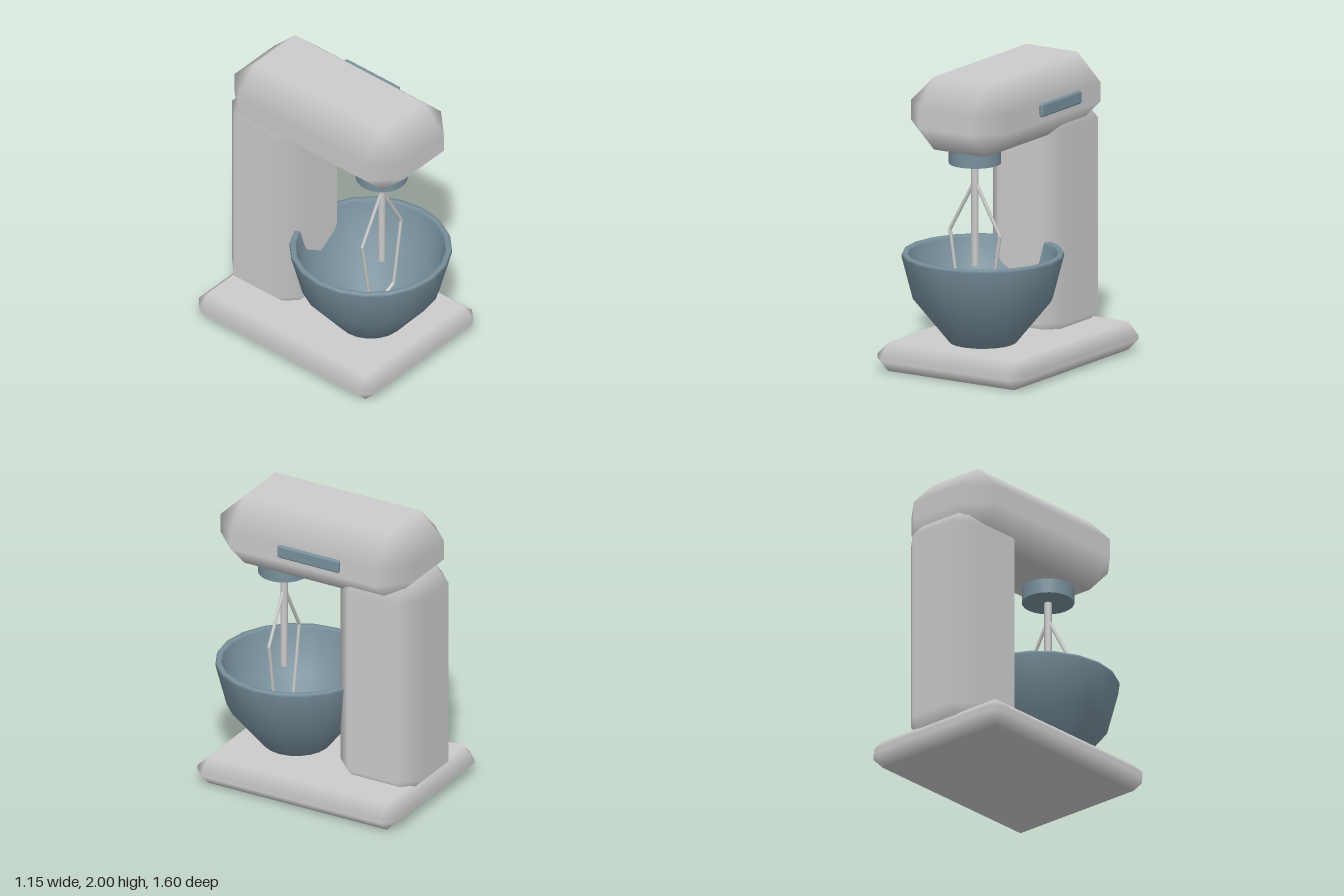
import * as THREE from 'three';
import { ConvexGeometry } from 'three/addons/geometries/ConvexGeometry.js';
import { RoundedBoxGeometry } from 'three/addons/geometries/RoundedBoxGeometry.js';

const grey = new THREE.MeshStandardMaterial({ color: 0xcccccc });
const blue = new THREE.MeshStandardMaterial({ color: 0x78909c });

// Box with a single-step bevel: flat main faces, smoothly shaded bevels.
function bevelBox(min, max, bevel) {
  const half = min.map((v, i) => (max[i] - v) / 2);
  const points = [];
  for (let axis = 0; axis < 3; axis++)
    for (const sx of [-1, 1])
      for (const sy of [-1, 1])
        for (const sz of [-1, 1]) {
          const p = [sx, sy, sz].map((s, i) => s * (half[i] - (i === axis ? 0 : bevel)));
          points.push(new THREE.Vector3(...p));
        }
  const geo = new ConvexGeometry(points);
  const pos = geo.attributes.position;
  const normal = geo.attributes.normal;
  for (let i = 0; i < pos.count; i++) {
    const p = [pos.getX(i), pos.getY(i), pos.getZ(i)];
    // each corner takes the direction of the main face it belongs to
    normal.setXYZ(i, ...p.map((v, k) => (half[k] - Math.abs(v) < 1e-4 ? Math.sign(v) : 0)));
  }
  return geo.translate(...min.map((v, i) => (v + max[i]) / 2));
}

// Straight round rod between two points.
function rod(a, b, radius, sides) {
  const dir = b.clone().sub(a);
  const geo = new THREE.CylinderGeometry(radius, radius, dir.length(), sides);
  geo.applyQuaternion(new THREE.Quaternion().setFromUnitVectors(
    new THREE.Vector3(0, 1, 0), dir.clone().normalize()));
  const mid = a.clone().add(b).multiplyScalar(0.5);
  return geo.translate(mid.x, mid.y, mid.z);
}

export function createModel() {
  const model = new THREE.Group();
  model.name = 'standMixer';
  const add = (name, geo, material, parent = model) => {
    const mesh = new THREE.Mesh(geo, material);
    mesh.name = name;
    parent.add(mesh);
    return mesh;
  };

  // Body: base plate, rear column, motor head
  add('base', bevelBox([-0.575, 0, -0.8], [0.575, 0.19, 0.72], 0.08), grey);
  add('column', bevelBox([-0.29, 0.11, -0.8], [0.29, 1.68, -0.17], 0.13), grey);
  add('head', bevelBox([-0.38, 1.51, -0.745], [0.38, 2, 0.72], 0.18), grey);

  // Speed lever on the left side of the head
  add('lever', new RoundedBoxGeometry(0.03, 0.09, 0.47, 2, 0.014), blue)
    .position.set(0.395, 1.775, -0.065);

  // Attachment hub below the head
  add('hub', new THREE.CylinderGeometry(0.172, 0.172, 0.14, 24), blue)
    .position.set(0, 1.48, 0.355);

  // Beater: central shaft and a bent wire loop
  const beater = new THREE.Group();
  beater.name = 'beater';
  beater.position.z = 0.355;
  model.add(beater);
  const at = (x, y) => new THREE.Vector3(x, y, 0);
  add('shaft', rod(at(0, 0.72), at(0, 1.45), 0.025, 8), grey, beater);
  const bend = [[0, 1.29], [0.195, 0.94], [0.12, 0.46], [0, 0.4]];
  for (const side of [-1, 1])
    for (let i = 0; i < bend.length - 1; i++) {
      const [a, b] = [bend[i], bend[i + 1]].map(([x, y]) => at(side * x, y));
      add('beaterWire', rod(a, b, 0.012, 6), grey, beater);
    }

  // Bowl: outer wall up, over the rim, down the inside
  const profile = [
    [0, 0.185], [0.22, 0.185], [0.46, 0.48], [0.535, 0.77], [0.528, 0.79],
    [0.5, 0.79], [0.49, 0.775], [0.42, 0.49], [0.2, 0.225], [0, 0.225],
  ].map(([r, y]) => new THREE.Vector2(r, y));
  const bowlMaterial = blue.clone();
  bowlMaterial.side = THREE.DoubleSide;
  add('bowl', new THREE.LatheGeometry(profile, 20), bowlMaterial).position.z = 0.26;

  return model;
}
